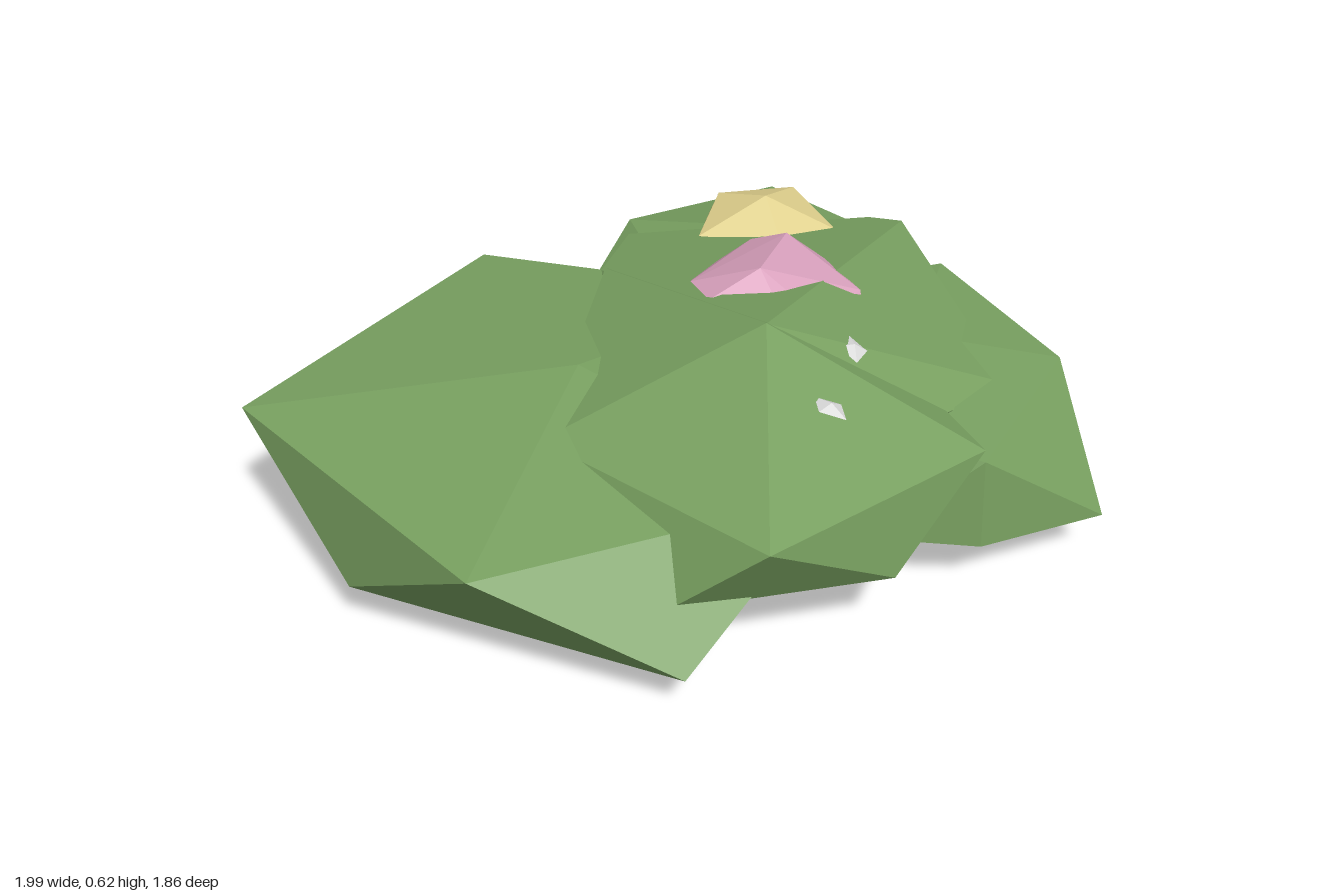
import * as THREE from 'three';
import { ConvexGeometry } from 'three/addons/geometries/ConvexGeometry.js';

const paint = (name, color) => {
  const m = new THREE.MeshStandardMaterial({ color });
  m.name = name;
  return m;
};

export function createModel() {
  const group = new THREE.Group();
  group.name = 'floweringBush';
  const leaf = paint('leaf green', 0x78a060);
  const pink = paint('blossom pink', 0xdaa2be);
  const yellow = paint('blossom yellow', 0xdfd08c);
  const white = paint('petal white', 0xdcdcdc);

  // Faceted lump: the hull of a few corners
  const lump = (name, material, corners) => {
    const mesh = new THREE.Mesh(new ConvexGeometry(corners.map(c => new THREE.Vector3(...c))), material);
    mesh.name = name;
    group.add(mesh);
  };

  // Foliage: each lump lists top, upper ring, lower ring, bottom
  lump('leftFoliage', leaf, [
    [-0.22, 0.475, 0.23],
    [-1, 0.39, 0.2], [-0.49, 0.38, 0.88], [0.3, 0.37, 0.65], [0.33, 0.4, -0.18], [-0.43, 0.41, -0.45],
    [-0.76, 0.14, 0.57], [-0.05, 0.12, 0.93], [0.42, 0.13, 0.22], [-0.02, 0.15, -0.42], [-0.74, 0.15, -0.16],
    [-0.24, 0, 0.23],
  ]);
  lump('frontFoliage', leaf, [
    [0.2, 0.62, 0.33],
    [0.12, 0.43, 0.92], [0.66, 0.405, 0.57], [0.45, 0.42, -0.1], [-0.12, 0.46, -0.25], [-0.32, 0.42, 0.45],
    [0.43, 0.21, 0.75], [-0.08, 0.23, 0.83], [-0.25, 0.2, 0.2], [0.58, 0.2, 0.45],
    [0.15, 0.08, 0.2],
  ]);
  lump('middleFoliage', leaf, [
    [0.2, 0.618, 0.33],
    [0.58, 0.41, 0.44], [0.8, 0.38, 0.27], [0.7, 0.45, -0.45], [0.62, 0.44, -0.5], [-0.04, 0.44, -0.47], [-0.13, 0.455, -0.25],
    [0.65, 0.2, 0.25], [0.68, 0.22, -0.35], [0.05, 0.2, -0.38], [-0.1, 0.2, 0.1],
    [0.13, 0.07, -0.05],
  ]);
  lump('rightFoliage', leaf, [
    [0.6, 0.44, 0.12],
    [0.96, 0.375, 0.16], [0.66, 0.38, 0.58], [0.3, 0.38, 0.35], [0.35, 0.4, -0.2], [0.78, 0.39, -0.31],
    [0.99, 0.14, 0.49], [0.67, 0.15, 0.59], [0.42, 0.17, 0.56], [0.2, 0.15, 0.15], [0.5, 0.14, -0.3], [0.94, 0.14, -0.15],
    [0.53, 0.035, 0.2],
  ]);
  lump('backFoliage', leaf, [
    [0.27, 0.455, -0.46],
    [0.41, 0.38, -0.835], [-0.02, 0.38, -0.67], [0.05, 0.4, -0.25], [0.5, 0.42, -0.15], [0.71, 0.35, -0.52],
    [0.12, 0.17, -0.93], [0.69, 0.18, -0.81], [0.71, 0.19, -0.24], [0.2, 0.18, -0.05], [-0.22, 0.2, -0.41],
    [0.3, 0.11, -0.6],
  ]);

  // Blossoms
  lump('pinkBlossom', pink, [
    [0.23, 0.605, 0.05], [0.33, 0.585, -0.16],
    [0.07, 0.545, -0.01], [0.1, 0.56, 0.11], [0.27, 0.535, 0.17], [0.36, 0.52, 0.16], [0.48, 0.525, 0.04],
    [0.42, 0.53, -0.12], [0.25, 0.54, -0.22], [0.12, 0.49, -0.16], [0.48, 0.48, 0.1], [0.33, 0.47, -0.2],
    [0.28, 0.43, 0],
  ]);
  lump('yellowBlossom', yellow, [
    [0.33, 0.53, -0.48],
    [0.14, 0.46, -0.4], [0.22, 0.485, -0.6], [0.43, 0.485, -0.615], [0.51, 0.455, -0.41], [0.35, 0.46, -0.345],
    [0.2, 0.43, -0.61], [0.44, 0.42, -0.62], [0.33, 0.39, -0.48],
  ]);

  // Small white petals lying on the slopes
  for (const [x, y, z, turn] of [[0.405, 0.53, 0.315, 0], [0.31, 0.522, 0.54, 0.6]]) {
    const petal = new THREE.Mesh(new THREE.OctahedronGeometry(1), white);
    petal.name = 'petal';
    petal.scale.set(0.036, 0.014, 0.05);
    petal.position.set(x, y, z);
    petal.rotation.set(0.15, turn, -0.25);
    group.add(petal);
  }
  return group;
}
